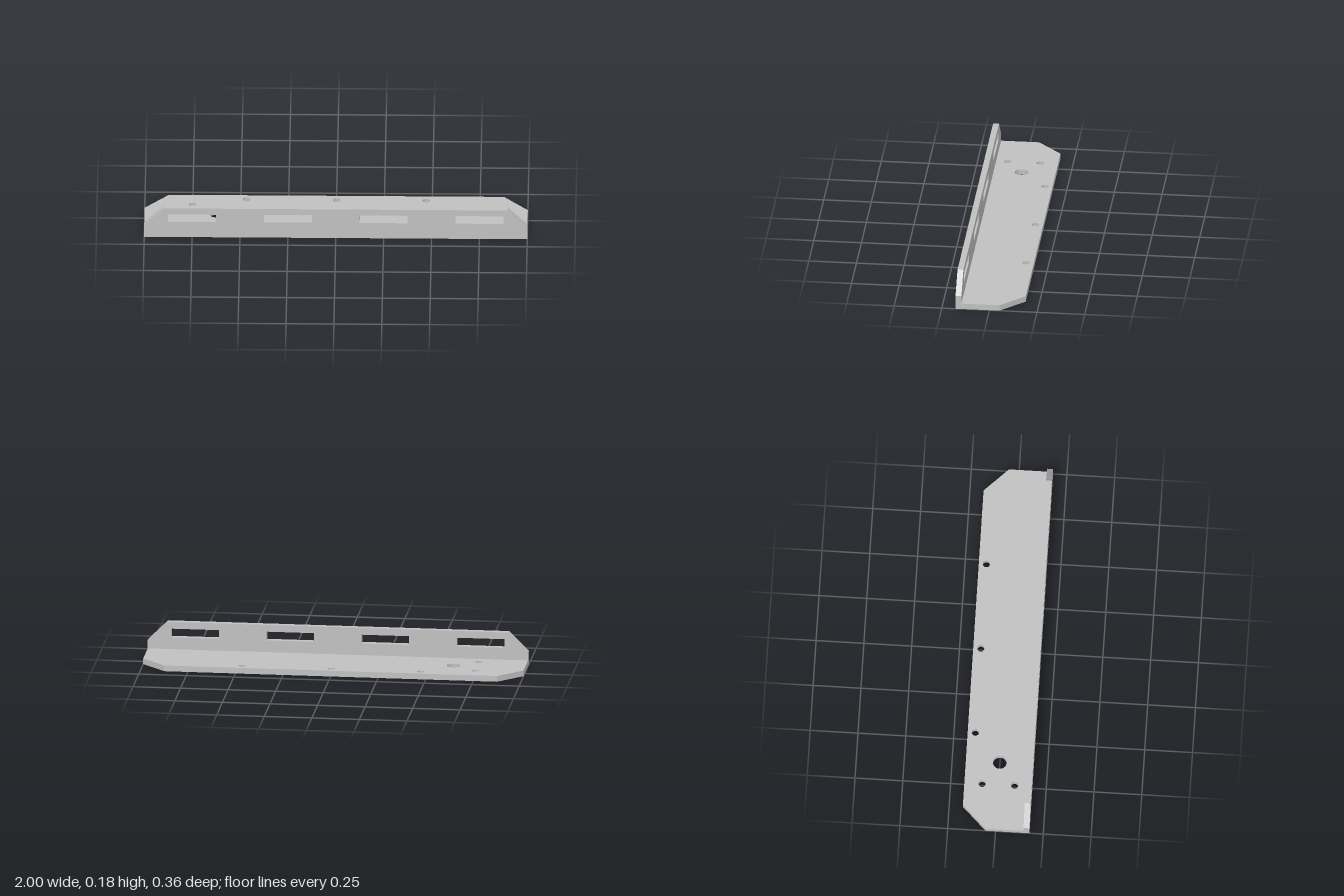
import * as THREE from 'three';

const T = 0.031;  // plate thickness
const D = 0.178;  // half depth, also flange height

const outline = (pts) => new THREE.Shape(pts.map(([x, y]) => new THREE.Vector2(x, y)));

function addRoundHole(shape, x, y, r) {
  shape.holes.push(new THREE.Path().absarc(x, y, r, 0, Math.PI * 2, true));
}

function addSlot(shape, x, y, w, h) {
  const hole = new THREE.Path();
  hole.moveTo(x - w / 2, y - h / 2);
  hole.lineTo(x - w / 2, y + h / 2);
  hole.lineTo(x + w / 2, y + h / 2);
  hole.lineTo(x + w / 2, y - h / 2);
  hole.closePath();
  shape.holes.push(hole);
}

const extrude = (shape) =>
  new THREE.ExtrudeGeometry(shape, { depth: T, bevelEnabled: false, curveSegments: 32 });

export function createModel() {
  const group = new THREE.Group();
  group.name = 'angleBracket';
  const steel = new THREE.MeshStandardMaterial({ color: 0xc0c0c0 });
  steel.name = 'steelGrey';

  // Base plate with clipped rear corners, drawn with shape y = -z
  const front = -(D - T);
  const base = outline([[-1, front], [1, front], [1, 0.053], [0.875, D], [-0.875, D], [-1, 0.053]]);
  for (const x of [-0.469, 0, 0.469]) addRoundHole(base, x, 0.138, 0.019);
  for (const y of [-0.085, 0.085]) addRoundHole(base, -0.75, y, 0.019);
  addRoundHole(base, -0.627, 0, 0.036);
  const basePlate = new THREE.Mesh(extrude(base).rotateX(-Math.PI / 2), steel);
  basePlate.name = 'basePlate';
  group.add(basePlate);

  // Upright front flange with clipped top corners and four slots
  const upright = outline([[-1, 0], [1, 0], [1, 0.075], [0.897, D], [-0.897, D], [-1, 0.075]]);
  for (const x of [-0.75, -0.25, 0.25, 0.75]) addSlot(upright, x, 0.118, 0.25, 0.047);
  const frontFlange = new THREE.Mesh(extrude(upright).translate(0, 0, D - T), steel);
  frontFlange.name = 'frontFlange';
  group.add(frontFlange);

  return group;
}
